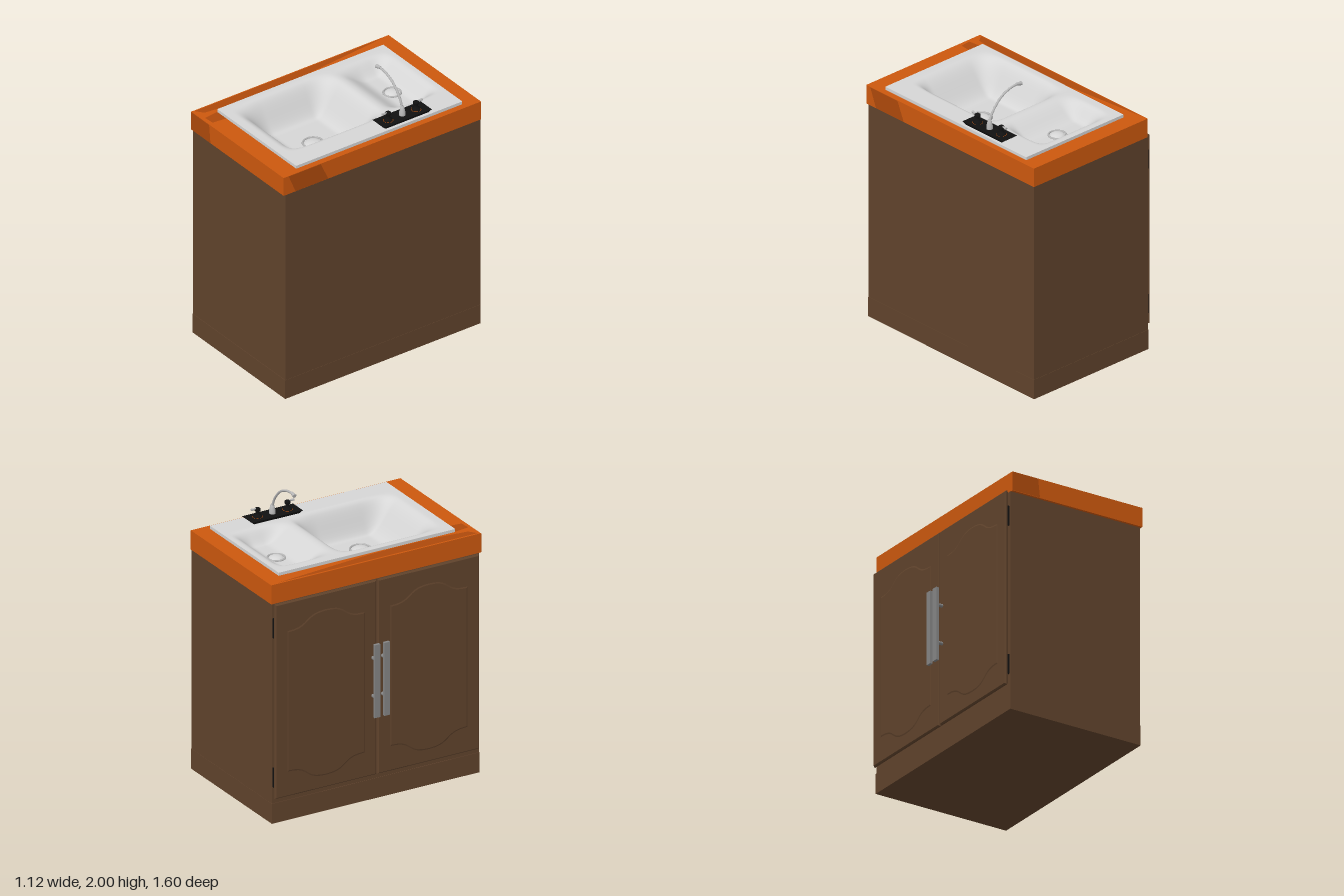
import * as THREE from 'three';

const mat = (name, color, side = THREE.FrontSide) => {
  const m = new THREE.MeshStandardMaterial({ color, side });
  m.name = name;
  return m;
};

export function createModel() {
  const group = new THREE.Group();
  const wood = mat('brown wood', 0x60432c);
  const orange = mat('orange counter', 0xcc580e);
  const darkOrange = mat('dark orange grain', 0xad490b, THREE.DoubleSide);
  const enamel = mat('pale enamel', 0xd6d6d6, THREE.DoubleSide);
  const chrome = mat('chrome', 0xb8b8b8);
  const steel = mat('handle steel', 0x858585);
  const black = mat('black', 0x111111);

  const add = (name, geo, material, x = 0, y = 0, z = 0, parent = group) => {
    const m = new THREE.Mesh(geo, material);
    m.name = name;
    m.position.set(x, y, z);
    parent.add(m);
    return m;
  };
  // Box given by its limits on each axis
  const box = (name, material, x0, x1, y0, y1, z0, z1, parent) =>
    add(name, new THREE.BoxGeometry(x1 - x0, y1 - y0, z1 - z0), material,
      (x0 + x1) / 2, (y0 + y1) / 2, (z0 + z1) / 2, parent);
  const rectPoints = ([x0, x1, z0, z1]) =>
    [[x0, -z0], [x1, -z0], [x1, -z1], [x0, -z1]].map(([x, y]) => new THREE.Vector2(x, y));
  // Upright rectangular frame with a rectangular opening
  const frame = (name, material, outer, inner, y0, y1) => {
    const shape = new THREE.Shape(rectPoints(outer));
    shape.holes.push(new THREE.Path(rectPoints(inner)));
    const geo = new THREE.ExtrudeGeometry(shape, { depth: y1 - y0, bevelEnabled: false });
    geo.rotateX(-Math.PI / 2);
    return add(name, geo, material, 0, y0, 0);
  };
  const lathe = (points, segments = 20) =>
    new THREE.LatheGeometry(points.map(([r, y]) => new THREE.Vector2(r, y)), segments);

  // Cabinet and counter
  const opening = [-0.345, 0.495, -0.665, 0.65];
  box('plinth', wood, -0.472, 0.552, 0, 0.143, -0.8, 0.785);
  frame('cabinetBody', wood, [-0.468, 0.55, -0.798, 0.782], [-0.44, 0.52, -0.77, 0.755], 0.143, 1.57);
  frame('countertop', orange, [-0.465, 0.555, -0.8, 0.8], opening, 1.57, 1.707);

  // Darker grain patches on the counter
  const patch = (pts) => new THREE.ShapeGeometry(
    new THREE.Shape(pts.map(([x, y]) => new THREE.Vector2(x, y))));
  add('frontGrain', patch([[-0.465, 1.572], [-0.25, 1.572], [-0.265, 1.705], [-0.465, 1.705]]),
    darkOrange, 0, 0, 0.802);
  const sideGrain = patch([[-0.76, 1.705], [-0.705, 1.572], [-0.44, 1.572], [-0.5, 1.705]]);
  sideGrain.rotateY(Math.PI / 2);
  add('sideGrain', sideGrain, darkOrange, 0.557, 0, 0);
  const topGrain = patch([[-0.36, -0.667], [-0.26, -0.667], [-0.27, -0.77], [-0.345, -0.775]]);
  topGrain.rotateX(-Math.PI / 2);
  add('topGrain', topGrain, darkOrange, 0, 1.709, 0);
  const edgeGrain = patch([[-0.455, -0.78], [-0.4, -0.74], [-0.375, -0.5], [-0.37, -0.2],
    [-0.38, 0], [-0.4, 0.2], [-0.43, 0.5], [-0.455, 0.75]]);
  edgeGrain.rotateX(-Math.PI / 2);
  add('edgeGrain', edgeGrain, darkOrange, 0, 1.709, 0);

  // Sink: a sheet pressed into a deep bowl and a shallow bowl
  const s = THREE.MathUtils.smoothstep;
  const bowl = (x, z, [x0, x1, x2, x3], [z0, z1, z2, z3]) =>
    s(x, x0, x1) * (1 - s(x, x2, x3)) * s(z, z0, z1) * (1 - s(z, z2, z3));
  const sinkHeight = (x, z) => 1.73
    - 0.21 * bowl(x, z, [-0.32, -0.14, 0.23, 0.36], [-0.2, 0.02, 0.36, 0.61])
    - 0.095 * bowl(x, z, [-0.3, -0.17, 0.23, 0.34], [-0.65, -0.5, -0.42, -0.21]);
  const sheet = new THREE.PlaneGeometry(0.87, 1.345, 64, 96);
  sheet.rotateX(-Math.PI / 2);
  sheet.translate(0.075, 0, -0.0075);
  const pos = sheet.attributes.position;
  for (let i = 0; i < pos.count; i++) pos.setY(i, sinkHeight(pos.getX(i), pos.getZ(i)));
  sheet.computeVertexNormals();
  add('sinkBasin', sheet, enamel);
  frame('sinkRim', enamel, [-0.36, 0.51, -0.68, 0.665], opening, 1.707, 1.729);

  // Drains
  for (const [name, x, z, r] of [['frontDrain', 0.08, 0.21, 0.06], ['backDrain', 0.03, -0.465, 0.05]]) {
    const drain = new THREE.Group();
    drain.name = name;
    drain.position.set(x, sinkHeight(x, z), z);
    group.add(drain);
    add('drainPlug', lathe([[r, 0], [r * 0.95, 0.006], [r * 0.7, 0.013], [r * 0.35, 0.017], [0, 0.018]]),
      enamel, 0, 0, 0, drain);
    const ring = new THREE.TorusGeometry(r * 1.18, 0.007, 6, 20);
    ring.rotateX(Math.PI / 2);
    add('drainRing', ring, chrome, 0, 0.002, 0, drain);
  }

  // Tap plate, flared towards the top
  const plate = new THREE.CylinderGeometry(Math.SQRT1_2, Math.SQRT1_2 * 0.88, 1, 4, 1).toNonIndexed();
  plate.rotateY(Math.PI / 4);
  plate.scale(0.125, 0.018, 0.39);
  plate.computeVertexNormals();
  add('tapPlate', plate, black, 0.433, 1.739, -0.25);

  // Tap knobs with levers pointing outwards
  for (const [z, dir] of [[-0.135, 1], [-0.362, -1]]) {
    const knob = new THREE.Group();
    knob.name = 'tapKnob';
    knob.position.set(0.435, 1.748, z);
    group.add(knob);
    const ring = new THREE.RingGeometry(0.031, 0.034, 24);
    ring.rotateX(-Math.PI / 2);
    add('knobRing', ring, orange, 0, 0.001, 0, knob);
    add('knobBody', lathe([[0.031, 0], [0.028, 0.012], [0.014, 0.022], [0.013, 0.04],
      [0.02, 0.046], [0.02, 0.06], [0.012, 0.066], [0, 0.067]], 16), black, 0, 0, 0, knob);
    const lever = new THREE.CylinderGeometry(0.008, 0.005, 0.04, 10);
    lever.rotateX(dir * Math.PI / 2);
    add('knobLever', lever, chrome, 0, 0.061, dir * 0.03, knob);
  }

  // Curved spout
  add('spoutBase', lathe([[0.022, 0], [0.022, 0.02], [0.017, 0.04], [0.012, 0.065], [0, 0.066]]),
    chrome, 0.435, 1.747, -0.25);
  const path = new THREE.CatmullRomCurve3(
    [[0.435, 1.79], [0.415, 1.848], [0.378, 1.9], [0.335, 1.941], [0.288, 1.967], [0.23, 1.984], [0.18, 1.987]]
      .map(([x, y]) => new THREE.Vector3(x, y, -0.25)));
  add('spout', new THREE.TubeGeometry(path, 28, 0.008, 10), chrome);
  const nozzle = new THREE.CylinderGeometry(0.009, 0.014, 0.045, 12);
  nozzle.rotateZ(-Math.PI / 2 + 0.2);
  add('spoutNozzle', nozzle, chrome, 0.174, 1.985, -0.25);

  // Doors with arched panels, long handles and hinges
  const panelShape = (h, top, bottom) => {
    const p = new THREE.Shape();
    p.moveTo(-h, bottom);
    p.bezierCurveTo(-h * 0.4, bottom, -h * 0.6, bottom - 0.09, 0, bottom - 0.09);
    p.bezierCurveTo(h * 0.6, bottom - 0.09, h * 0.4, bottom, h, bottom);
    p.lineTo(h, top);
    p.bezierCurveTo(h * 0.4, top, h * 0.6, top + 0.09, 0, top + 0.09);
    p.bezierCurveTo(-h * 0.6, top + 0.09, -h * 0.4, top, -h, top);
    return p;
  };
  for (const [name, z0, z1, handleZ, hingeZ] of [
    ['backDoor', -0.79, -0.017, -0.047, -0.782], ['frontDoor', -0.006, 0.767, 0.026, 0.758]]) {
    const door = new THREE.Group();
    door.name = name;
    group.add(door);
    const w = z1 - z0, mid = (z0 + z1) / 2, b = 0.008;
    const slab = new THREE.Shape(rectPoints([-w / 2 + b, w / 2 - b, -1.575 + b, -0.182 - b]));
    const slabGeo = new THREE.ExtrudeGeometry(slab,
      { depth: 0.01, bevelSize: b, bevelThickness: b, bevelSegments: 1 });
    slabGeo.rotateY(-Math.PI / 2);
    add('doorSlab', slabGeo, wood, -0.482, 0, mid, door);
    const panelGeo = new THREE.ExtrudeGeometry(panelShape(w / 2 - 0.1, 1.36, 0.37),
      { depth: 0.001, bevelSize: 0.012, bevelThickness: 0.004, bevelSegments: 1, curveSegments: 10 });
    panelGeo.rotateY(-Math.PI / 2);
    add('doorPanel', panelGeo, wood, -0.498, 0, mid, door);
    box('handleBar', steel, -0.561, -0.541, 0.62, 1.143, handleZ - 0.021, handleZ + 0.021, door);
    for (const y of [0.755, 1.027]) {
      const post = new THREE.CylinderGeometry(0.012, 0.012, 0.05, 12);
      post.rotateZ(Math.PI / 2);
      add('handlePost', post, steel, -0.522, y, handleZ, door);
    }
    for (const y of [0.33, 1.4])
      box('hinge', black, -0.482, -0.466, y - 0.07, y + 0.07, hingeZ - 0.01, hingeZ + 0.01, door);
  }

  return group;
}
